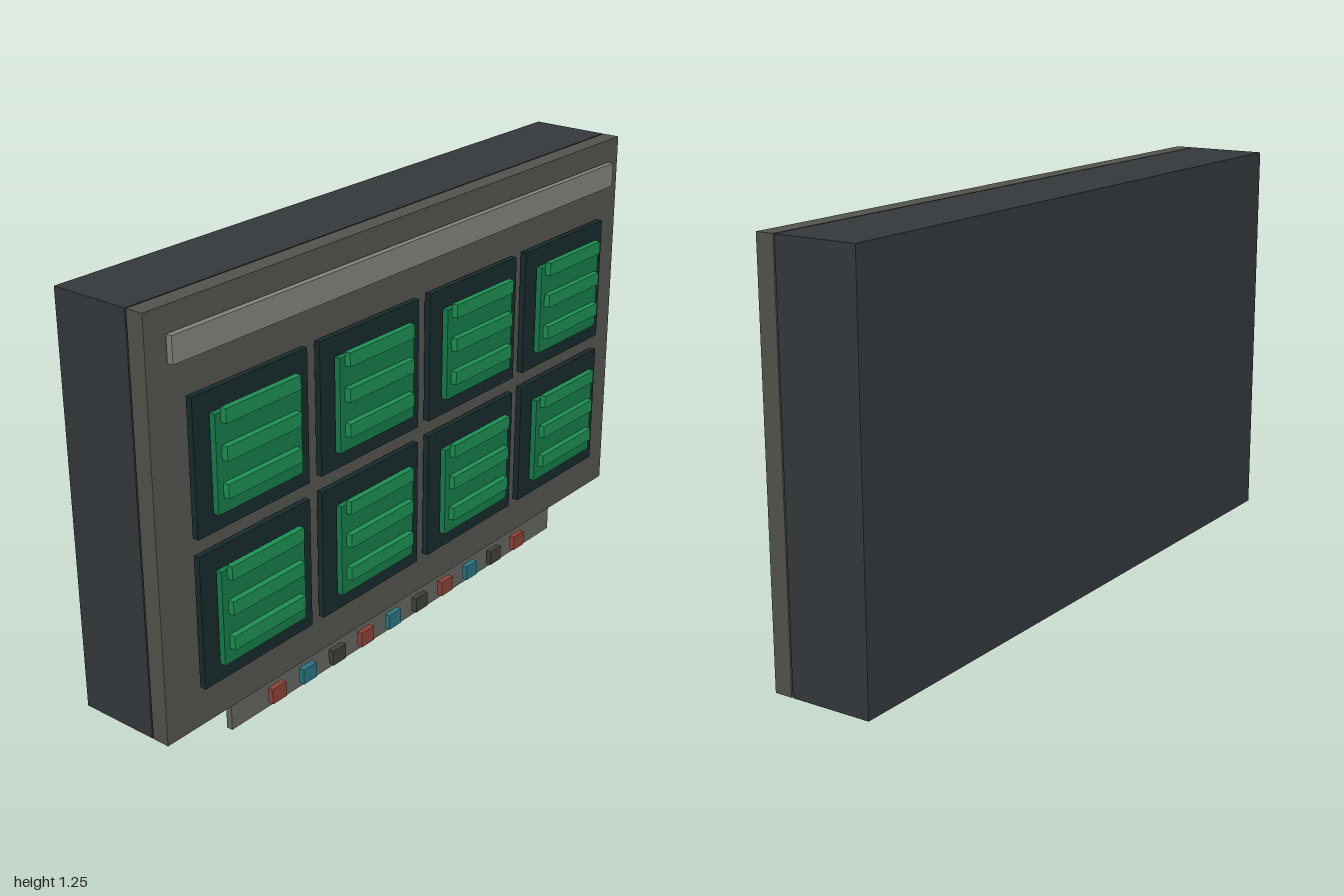
import * as THREE from 'three';

const mat = (color) => new THREE.MeshStandardMaterial({ color });

// Box given by centre x, y range centre, size and back/front z
function box(parent, name, material, x, y, w, h, zBack, zFront) {
  const mesh = new THREE.Mesh(new THREE.BoxGeometry(w, h, zFront - zBack), material);
  mesh.name = name;
  mesh.position.set(x, y, (zBack + zFront) / 2);
  parent.add(mesh);
  return mesh;
}

export function createModel() {
  const model = new THREE.Group();
  model.name = 'controlPanel';

  const housing = mat(0x34383c);
  const plate = mat(0x53534d);
  const strip = mat(0x80817c);
  const ledge = mat(0x64655f);
  const bezel = mat(0x17292b);
  const screen = mat(0x147a48);
  const bar = mat(0x1c8e52);
  const buttonMats = [mat(0x8a4239), mat(0x2a7380), mat(0x3d403b)];

  // Cabinet and face
  box(model, 'housing', housing, 0, 0.676, 2, 1.152, -0.18, 0.058);
  box(model, 'facePlate', plate, 0, 0.676, 2, 1.152, 0.062, 0.114);
  box(model, 'headerStrip', strip, 0, 1.15, 1.875, 0.072, 0.121, 0.139);

  // Two rows of four displays, each with three raised bars
  for (const y of [0.83, 0.408]) {
    for (const x of [-0.683, -0.228, 0.228, 0.683]) {
      const display = new THREE.Group();
      display.name = 'display';
      display.position.set(x, y, 0);
      box(display, 'bezel', bezel, 0, 0, 0.408, 0.375, 0.123, 0.141);
      box(display, 'screen', screen, 0, 0, 0.306, 0.266, 0.146, 0.164);
      for (const dy of [0.127, 0.028, -0.071]) {
        box(display, 'screenBar', bar, 0, dy, 0.267, 0.039, 0.164, 0.182);
      }
      model.add(display);
    }
  }

  // Lower ledge with a row of buttons
  box(model, 'buttonLedge', ledge, 0, 0.05, 1.482, 0.1, 0.065, 0.084);
  for (let i = 0; i < 10; i++) {
    box(model, 'button', buttonMats[i % 3], -0.594 + i * 0.124, 0.056, 0.053, 0.045, 0.104, 0.122);
  }

  return model;
}
